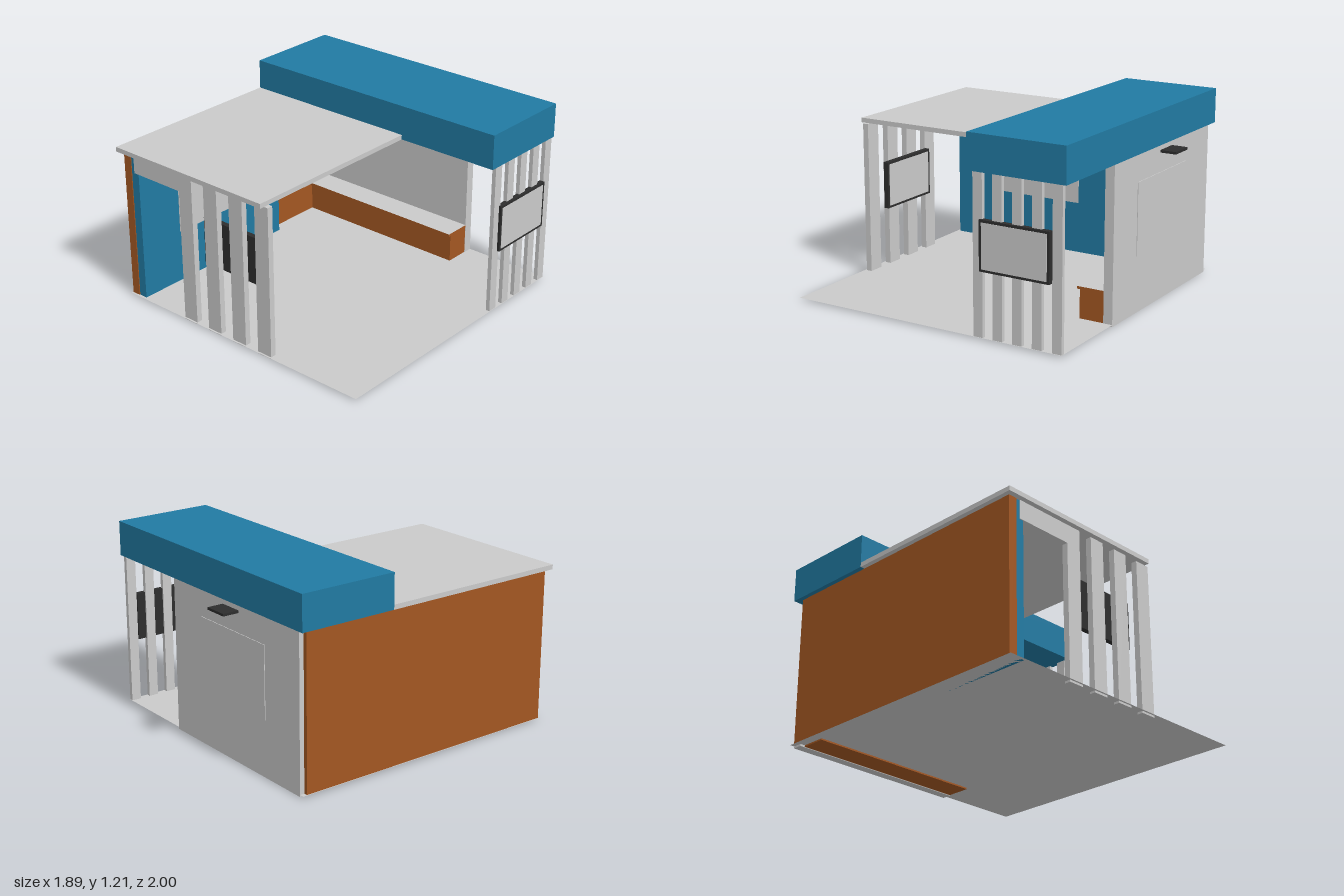
import * as THREE from 'three';

const mat = (name, color) => {
  const m = new THREE.MeshStandardMaterial({ color });
  m.name = name;
  return m;
};

export function createModel() {
  const grey = mat('light grey', 0xcacaca);
  const blue = mat('blue', 0x217aa2);
  const brown = mat('brown', 0xa35722);
  const black = mat('black', 0x2d2d2d);
  const floorGrey = grey.clone();
  floorGrey.name = 'light grey floor';
  floorGrey.side = THREE.DoubleSide;

  const model = new THREE.Group();
  model.name = 'kiosk';

  // Box given by its limits on each axis
  const box = (name, material, [x0, x1], [y0, y1], [z0, z1], parent = model) => {
    const mesh = new THREE.Mesh(new THREE.BoxGeometry(x1 - x0, y1 - y0, z1 - z0), material);
    mesh.position.set((x0 + x1) / 2, (y0 + y1) / 2, (z0 + z1) / 2);
    mesh.name = name;
    parent.add(mesh);
    return mesh;
  };

  // Floor sheet
  const floor = new THREE.Mesh(new THREE.PlaneGeometry(1.85, 1.86).rotateX(-Math.PI / 2), floorGrey);
  floor.position.set(0.005, 0.018, 0.05);
  floor.name = 'floor';
  model.add(floor);

  // Roofs
  box('blueRoof', blue, [-0.945, 0.928], [0.99, 1.21], [-0.9, -0.258]);
  box('flatRoof', grey, [-0.945, 0.245], [0.99, 1.02], [-0.258, 1]);

  // Walls
  box('outerSideWall', brown, [-0.915, -0.858], [0.018, 0.99], [-0.85, 0.966]);
  box('innerSideWall', blue, [-0.857, -0.8], [0.018, 0.99], [-0.258, 0.962]);
  box('backWall', grey, [-0.89, 0.347], [0.005, 0.99], [-0.88, -0.82]);
  box('sideWallPanel', grey, [-0.8, -0.796], [0.36, 0.815], [0.005, 0.65]);
  box('backWallPanel', grey, [-0.57, 0.06], [0.36, 0.815], [-0.884, -0.88]);

  // Front header and upright slats
  box('frontHeader', grey, [-0.83, -0.445], [0.87, 0.99], [0.93, 0.968]);
  for (let i = 0; i < 4; i++) {
    const x = -0.445 + i * 0.204;
    box('frontSlat', grey, [x, x + 0.105], [0.005, 0.99], [0.93, 0.968]);
  }
  for (let i = 0; i < 5; i++) {
    const z = -0.295 - i * 0.13;
    box('sideSlat', grey, [0.9, 0.926], [0.018, 0.99], [z - 0.063, z]);
  }

  // Bench with a grey seat surface
  box('benchBody', brown, [-0.857, 0.345], [0.008, 0.2], [-0.82, -0.66]);
  box('benchTop', [brown, brown, grey, brown, brown, brown], [-0.857, 0.347], [0.2, 0.217], [-0.82, -0.642]);

  // Wall screen, built facing +z
  const screen = (name, x, z, turn) => {
    const g = new THREE.Group();
    g.name = name;
    box('screenCase', black, [-0.23, 0.23], [-0.152, 0.152], [-0.0175, 0.0155], g);
    box('screenFace', grey, [-0.214, 0.214], [-0.137, 0.137], [0.0155, 0.0175], g);
    g.position.set(x, 0.57, z);
    g.rotation.y = turn;
    model.add(g);
  };
  screen('frontScreen', -0.08, 0.888, Math.PI);
  screen('sideScreen', 0.926, -0.575, Math.PI / 2);

  // Flat wall lamp, built reaching out along +z from the wall
  const lamp = (name, x, z, turn) => {
    const g = new THREE.Group();
    g.name = name;
    box('lampCase', black, [-0.078, 0.078], [-0.007, 0.008], [0, 0.104], g);
    box('lampLens', grey, [-0.035, 0.035], [-0.009, -0.007], [0.03, 0.074], g);
    g.position.set(x, 0.952, z);
    g.rotation.y = turn;
    model.add(g);
  };
  lamp('sideWallLamp', -0.8, 0.33, Math.PI / 2);
  lamp('insideBackLamp', 0.024, -0.82, 0);
  lamp('outsideBackLamp', -0.268, -0.896, Math.PI);

  return model;
}
